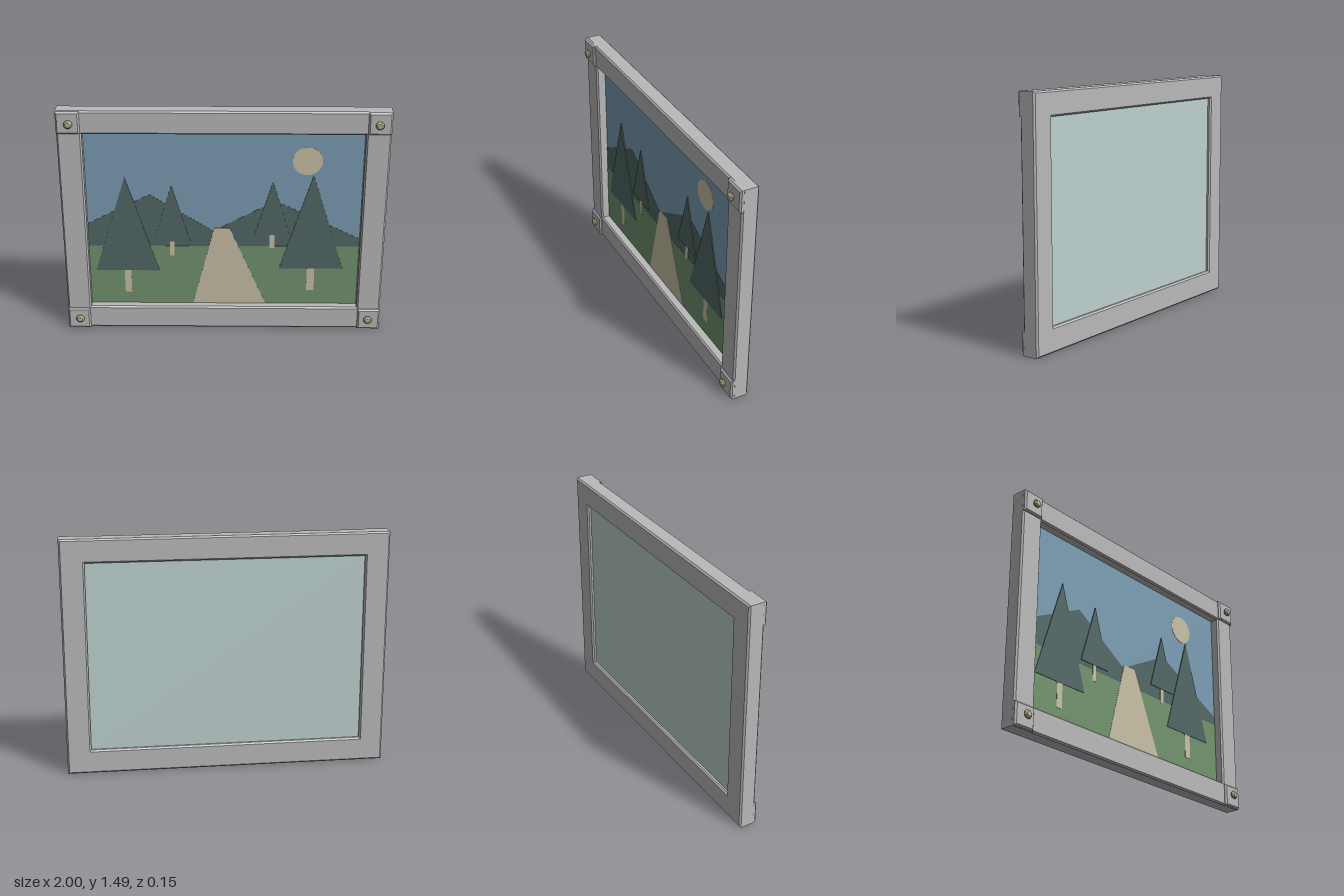
import * as THREE from 'three';

const mat = (name, color, extra = {}) => {
  const m = new THREE.MeshStandardMaterial({ color, ...extra });
  m.name = name;
  return m;
};

export function createModel() {
  const root = new THREE.Group();
  root.name = 'framedLandscape';

  const frameGrey = mat('frameGrey', 0xb9b9b9);
  const backing = mat('backingPaleTeal', 0xbdd1cf);
  const skyBlue = mat('skyBlue', 0x7b9db4);
  const forest = mat('forestGreen', 0x516865);
  const grass = mat('grassGreen', 0x73926e);
  const sand = mat('sand', 0xc8c0a5);
  const brass = mat('brass', 0xb8b08c, { flatShading: true });

  const add = (name, geo, material, x = 0, y = 0, z = 0) => {
    const mesh = new THREE.Mesh(geo, material);
    mesh.name = name;
    mesh.position.set(x, y, z);
    root.add(mesh);
    return mesh;
  };
  const polygon = (pts) => new THREE.Shape(pts.map(([x, y]) => new THREE.Vector2(x, y)));
  const rect = (x0, y0, x1, y1) => [[x0, y0], [x1, y0], [x1, y1], [x0, y1]];

  // Chamfered slab running exactly from z0 to z1
  const slab = (shape, z0, z1, c = 0.01) => {
    const geo = new THREE.ExtrudeGeometry(shape, {
      depth: z1 - z0 - 2 * c, bevelEnabled: true, bevelSegments: 1,
      bevelSize: c, bevelThickness: c, bevelOffset: -c,
    });
    return geo.translate(0, 0, z0 + c);
  };

  // Frame with its opening
  const H = 1.485;
  const frame = polygon(rect(-1, 0, 1, H));
  frame.holes.push(polygon(rect(-0.85, 0.152, 0.85, 1.338).reverse()));
  add('frame', slab(frame, -0.072, 0.031), frameGrey);

  // Raised corner blocks and their bolts
  const boltProfile = [[0, -0.014], [0.017, -0.013], [0.027, -0.003], [0.027, 0.003], [0.017, 0.013], [0, 0.014]]
    .map(([r, h]) => new THREE.Vector2(r, h));
  const boltGeo = new THREE.LatheGeometry(boltProfile, 8).rotateY(Math.PI / 8).rotateX(Math.PI / 2);
  const blockGeo = slab(polygon(rect(-0.071, -0.071, 0.071, 0.071)), -0.02, 0.045);
  for (const [sx, side] of [[1, 'Left'], [-1, 'Right']]) {
    for (const [y, level] of [[0.0715, 'bottom'], [H - 0.0715, 'top']]) {
      add(`${level}${side}CornerBlock`, blockGeo, frameGrey, sx * 0.9285, y);
      add(`${level}${side}Bolt`, boltGeo, brass, sx * 0.922, y < 0.5 ? 0.078 : 1.411, 0.06);
    }
  }

  // Panel behind the picture
  add('backPanel', new THREE.BoxGeometry(1.74, 1.22, 0.022), backing, 0, 0.745, -0.039);

  // Picture layers: thin plates, later layers stand slightly prouder
  const BASE = -0.028;
  const layer = (name, shape, level, material) =>
    add(name, new THREE.ExtrudeGeometry(shape, { depth: 0.0015 * level, bevelEnabled: false, curveSegments: 16 }),
      material, 0, 0, BASE);

  layer('sky', polygon(rect(-0.86, 0.14, 0.86, 1.35)), 1, skyBlue);
  layer('moon', new THREE.Shape().absarc(0.51, 1.147, 0.092, 0, Math.PI * 2), 2, sand);
  layer('hills', polygon([[-0.86, 0.56], [0.86, 0.56], [0.86, 0.615], [0.32, 0.88],
    [-0.065, 0.67], [-0.46, 0.92], [-0.86, 0.715]]), 2, forest);
  layer('meadow', polygon(rect(-0.86, 0.14, 0.86, 0.565)), 3, grass);
  layer('path', polygon([[-0.2, 0.14], [0.272, 0.14], [0.037, 0.69], [-0.06, 0.69]]), 4, sand);

  // Trees: x, peak, crown base, crown half width, trunk foot, trunk half width
  for (const [x, peak, base, w, foot, t] of [
    [-0.61, 1.035, 0.39, 0.202, 0.232, 0.021],
    [-0.325, 0.985, 0.597, 0.115, 0.495, 0.014],
    [0.302, 1.01, 0.645, 0.11, 0.553, 0.016],
    [0.551, 1.055, 0.408, 0.202, 0.25, 0.024],
  ]) {
    layer('treeTrunk', polygon(rect(x - t, foot, x + t, base)), 4, sand);
    layer('treeCrown', polygon([[x - w, base], [x + w, base], [x, peak]]), 5, forest);
  }

  return root;
}
